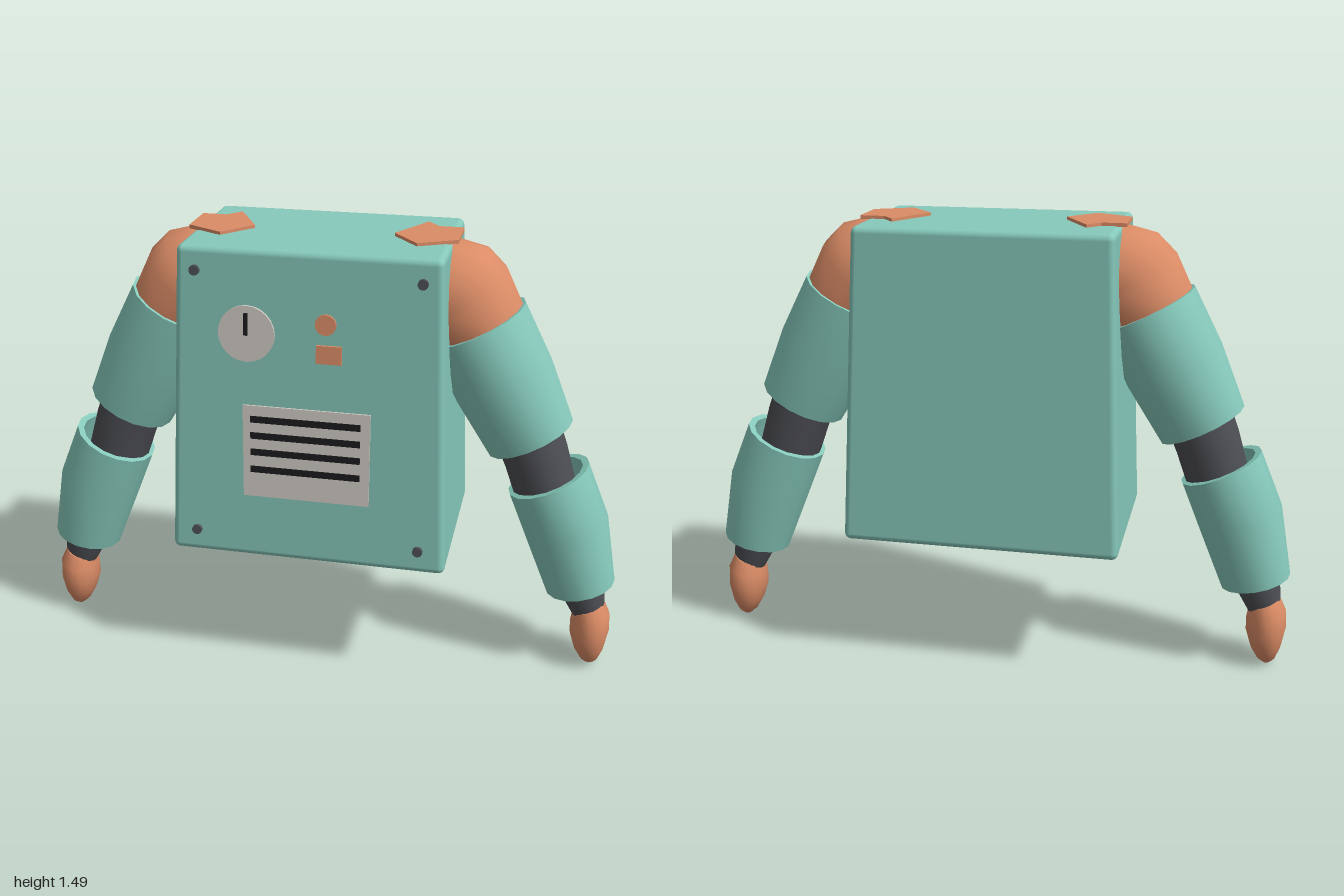
import * as THREE from 'three';
import { toCreasedNormals } from 'three/addons/utils/BufferGeometryUtils.js';
import { RoundedBoxGeometry } from 'three/addons/geometries/RoundedBoxGeometry.js';

const SIDES = 16;

function material(name, color) {
  const m = new THREE.MeshStandardMaterial({ color });
  m.name = name;
  return m;
}

// Skin a list of tilted ellipses [x, y, radiusX, radiusZ, tiltDegrees], listed from top to bottom
function loft(sections) {
  const pos = [], index = [];
  for (const [x, y, rx, rz, tilt] of sections) {
    const t = THREE.MathUtils.degToRad(tilt);
    for (let j = 0; j < SIDES; j++) {
      const a = (j / SIDES) * Math.PI * 2;
      const r = rx * Math.cos(a);
      pos.push(x + r * Math.cos(t), y + r * Math.sin(t), rz * Math.sin(a));
    }
  }
  for (let i = 0; i < sections.length - 1; i++) {
    for (let j = 0; j < SIDES; j++) {
      const k = (j + 1) % SIDES;
      const a = i * SIDES + j, b = i * SIDES + k, c = a + SIDES, d = b + SIDES;
      index.push(a, b, c, b, d, c);
    }
  }
  const g = new THREE.BufferGeometry();
  g.setAttribute('position', new THREE.Float32BufferAttribute(pos, 3));
  g.setIndex(index);
  return toCreasedNormals(g, 0.7);
}

// Solid limb: close both ends with a point
function solid(sections) {
  const tip = ([x, y, , , t]) => [x, y, 0.0005, 0.0005, t];
  return loft([tip(sections[0]), ...sections, tip(sections[sections.length - 1])]);
}

// Open tube with wall thickness and rims
function sleeve(sections, wall = 0.022) {
  const inner = sections.map(([x, y, rx, rz, t]) => [x, y, rx - wall, rz - wall, t]).reverse();
  return loft([...sections, ...inner, sections[0]]);
}

export function createModel() {
  const teal = material('teal shell', 0x86c9bb);
  const orange = material('orange skin', 0xdb8c66);
  const grey = material('dark grey joint', 0x4d4e53);
  const cream = material('pale panel', 0xcdc8c0);
  const black = material('black marking', 0x1b1b1d);

  const model = new THREE.Group();
  model.name = 'robotTorso';
  const add = (parent, name, geometry, mat, x = 0, y = 0, z = 0) => {
    const mesh = new THREE.Mesh(geometry, mat);
    mesh.name = name;
    mesh.position.set(x, y, z);
    parent.add(mesh);
    return mesh;
  };

  // Torso: rounded box narrowing toward the top
  const H = 1.03, BASE = 0.45;
  const box = new RoundedBoxGeometry(0.91, H, 0.61, 3, 0.022);
  const p = box.attributes.position;
  for (let i = 0; i < p.count; i++) {
    const k = p.getY(i) / H + 0.5;
    p.setX(i, p.getX(i) * (1 - 0.095 * k));
    p.setZ(i, p.getZ(i) * (1 - 0.155 * k));
  }
  add(model, 'torso', box, teal, 0, BASE + H / 2, 0);

  // Front details lie on the sloping front face
  const front = new THREE.Group();
  front.name = 'frontDetails';
  front.position.set(0, BASE, 0.305);
  front.rotation.x = -Math.atan(0.047 / H);
  model.add(front);
  const disc = (r, d) => new THREE.CylinderGeometry(r, r, d, 24).rotateX(Math.PI / 2);
  const plate = (w, h, d) => new THREE.BoxGeometry(w, h, d);

  add(front, 'dial', disc(0.09, 0.009), cream, -0.19, 0.766, 0.006);
  add(front, 'dialNeedle', plate(0.012, 0.07, 0.009), black, -0.19, 0.798, 0.014);
  add(front, 'roundButton', disc(0.033, 0.009), orange, 0.06, 0.811, 0.006);
  add(front, 'squareButton', plate(0.08, 0.058, 0.009), orange, 0.071, 0.716, 0.006);
  add(front, 'ventPanel', plate(0.41, 0.31, 0.008), cream, 0, 0.376, 0.003);
  for (const y of [0.486, 0.431, 0.375, 0.316]) {
    add(front, 'ventSlot', plate(0.355, 0.022, 0.006), black, -0.003, y, 0.006);
  }
  for (const [x, y] of [[0.353, 0.956], [0.367, 0.08]]) {
    for (const s of [-1, 1]) add(front, 'screw', disc(0.016, 0.018), grey, s * x, y, 0.003);
  }

  // Arms: symmetric front to back, so the right arm is the left one turned around
  const parts = [
    ['shoulder', orange, solid([
      [0.26, 1.31, 0.15, 0.15, 92], [0.385, 1.312, 0.168, 0.165, 80], [0.43, 1.3, 0.175, 0.17, 60],
      [0.446, 1.278, 0.175, 0.172, 40], [0.495, 1.21, 0.155, 0.165, 27]])],
    ['upperSleeve', teal, sleeve([
      [0.493, 1.21, 0.167, 0.178, 27], [0.585, 1.03, 0.168, 0.17, 27], [0.685, 0.835, 0.148, 0.145, 27]])],
    ['elbow', grey, solid([
      [0.655, 0.9, 0.112, 0.118, 27], [0.705, 0.775, 0.108, 0.115, 24], [0.755, 0.62, 0.103, 0.11, 20]])],
    ['lowerSleeve', teal, sleeve([
      [0.753, 0.695, 0.141, 0.148, 25], [0.823, 0.525, 0.142, 0.143, 20], [0.886, 0.303, 0.117, 0.12, 14]])],
    ['wrist', grey, solid([
      [0.88, 0.34, 0.078, 0.08, 16], [0.9, 0.275, 0.072, 0.075, 18], [0.925, 0.2, 0.055, 0.06, 20]])],
    ['hand', orange, solid([
      [0.921, 0.227, 0.053, 0.07, 22], [0.93, 0.18, 0.067, 0.087, 14], [0.932, 0.125, 0.067, 0.091, 8],
      [0.935, 0.065, 0.052, 0.073, 4], [0.938, 0.022, 0.032, 0.045, 0], [0.94, 0.003, 0.012, 0.018, 0]])],
  ];
  for (const side of ['left', 'right']) {
    const s = side === 'left' ? 1 : -1;
    const arm = new THREE.Group();
    arm.name = side + 'Arm';
    if (s < 0) arm.rotation.y = Math.PI;
    model.add(arm);
    for (const [name, mat, geometry] of parts) add(arm, name, geometry, mat);

    // Angular shoulder patch showing on the torso top
    const outline = [[0.43, -0.09], [0.35, -0.09], [0.31, -0.14], [0.225, 0.02], [0.31, 0.125], [0.43, 0.06]];
    const shape = new THREE.Shape(outline.map(([x, z]) => new THREE.Vector2(s * x, -z)));
    const patch = new THREE.ExtrudeGeometry(shape, { depth: 0.012, bevelEnabled: false }).rotateX(-Math.PI / 2);
    add(model, side + 'ShoulderPatch', patch, orange, 0, 1.478, 0);
  }
  return model;
}
